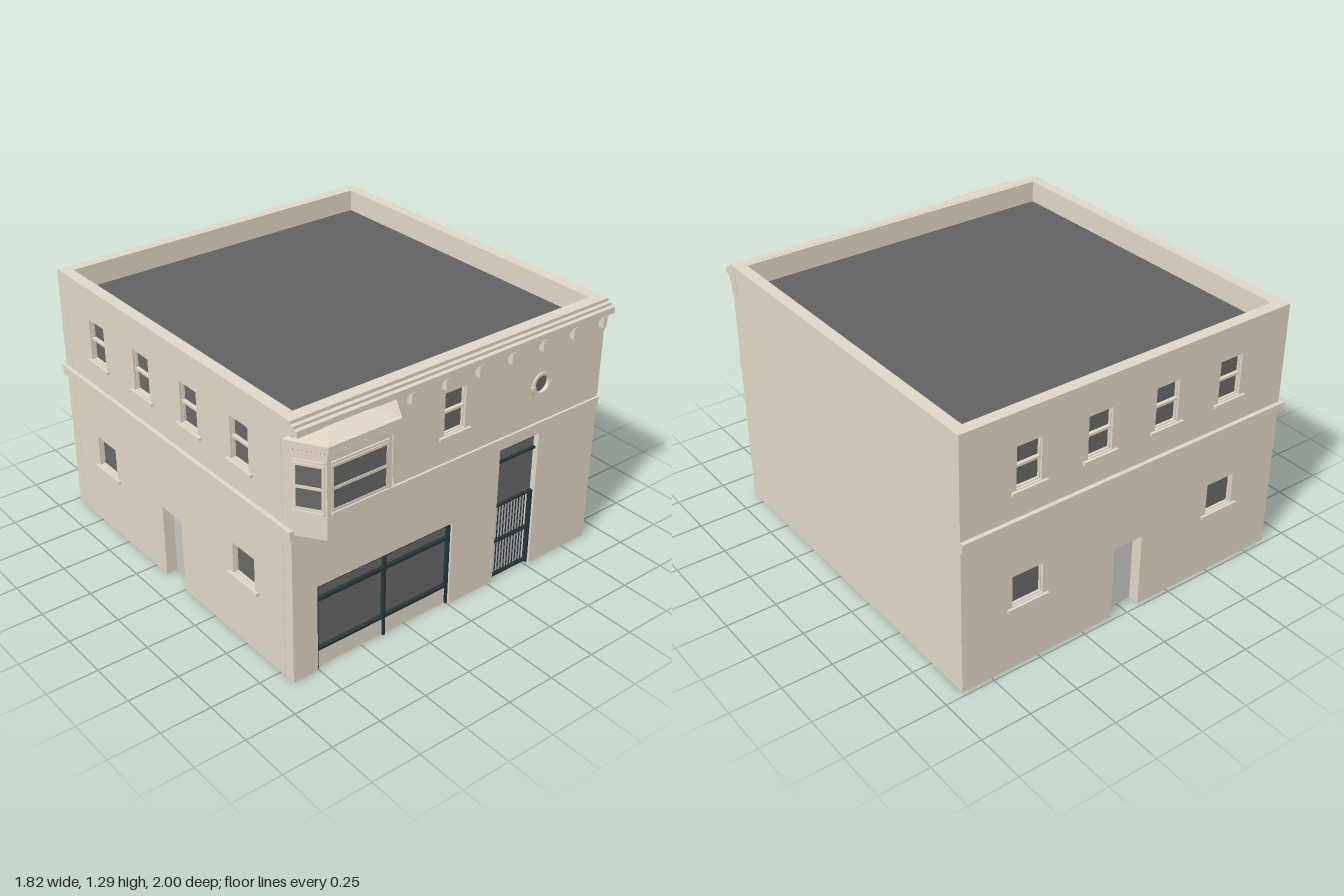
import * as THREE from 'three';

const mat = (name, color) => Object.assign(new THREE.MeshStandardMaterial({ color }), { name });

export function createModel() {
  const stone = mat('stone', 0xe1d7c5), glass = mat('glass', 0x686868), metal = mat('darkMetal', 0x24363a);
  const plaster = mat('plaster', 0xc8c8c8), roofing = mat('roofing', 0x626262);
  const model = new THREE.Group();
  model.name = 'cornerBuilding';
  const T = 0.057, H = 1.29, ROOF = 1.18;
  const X0 = -0.885, X1 = 0.902, Z0 = -0.98, Z1 = 0.84;

  const add = (parent, name, geo, material, x = 0, y = 0, z = 0) => {
    const m = new THREE.Mesh(geo, material);
    m.name = name;
    m.position.set(x, y, z);
    parent.add(m);
    return m;
  };
  // box from minimum to maximum corner
  const box = (parent, name, material, x0, x1, y0, y1, z0, z1) =>
    add(parent, name, new THREE.BoxGeometry(x1 - x0, y1 - y0, z1 - z0), material,
      (x0 + x1) / 2, (y0 + y1) / 2, (z0 + z1) / 2);
  const pane = (parent, name, material, x0, x1, y0, y1, z) =>
    add(parent, name, new THREE.PlaneGeometry(x1 - x0, y1 - y0), material, (x0 + x1) / 2, (y0 + y1) / 2, z);

  // wall outline with openings that reach the ground
  const outline = (a, b, doors) => {
    const s = new THREE.Shape();
    s.moveTo(a, 0);
    for (const [l, r, top] of doors) {
      s.lineTo(l, 0); s.lineTo(l, top); s.lineTo(r, top); s.lineTo(r, 0);
    }
    s.lineTo(b, 0); s.lineTo(b, H); s.lineTo(a, H); s.closePath();
    return s;
  };
  const rectHole = ([l, r, y0, y1]) => new THREE.Path([[l, y0], [r, y0], [r, y1], [l, y1]].map(p => new THREE.Vector2(...p)));

  // one wall in its own frame: outer face at z = 0, facing +z
  const wall = (name, a, b, pos, turn, { doors = [], windows = [], round }) => {
    const g = new THREE.Group();
    g.name = name;
    g.position.set(...pos);
    g.rotation.y = turn;
    model.add(g);
    const s = outline(a, b, doors);
    s.holes = windows.map(rectHole);
    if (round) s.holes.push(new THREE.Path().absarc(round[0], round[1], round[2], 0, Math.PI * 2, true));
    add(g, 'wallShell', new THREE.ExtrudeGeometry(s, { depth: T, bevelEnabled: false, curveSegments: 16 }), stone, 0, 0, -T);
    box(g, 'innerLining', plaster, a, b, 0, ROOF - 0.005, -T - 0.004, -T);
    for (const w of windows) sashWindow(g, ...w);
    return g;
  };
  const sashWindow = (g, l, r, y0, y1) => {
    const f = 0.004, mid = (y0 + y1) / 2;
    pane(g, 'windowGlass', glass, l, r, y0, y1, -0.025);
    for (const [a, b] of [[l, l + f], [r - f, r]]) box(g, 'windowJamb', stone, a, b, y0, y1, -0.03, -0.012);
    for (const [a, b] of [[y0, y0 + f], [y1 - f, y1]]) box(g, 'windowRail', stone, l, r, a, b, -0.03, -0.012);
    if (y1 - y0 > 0.18) box(g, 'meetingRail', stone, l, r, mid - 0.002, mid + 0.01, -0.03, -0.008);
    box(g, 'windowSill', stone, l - 0.028, r + 0.028, y0 - 0.018, y0 - 0.003, -0.01, 0.014);
  };
  const upper = c => [c - 0.064, c + 0.064, 0.925, 1.13];
  const lower = c => [c - 0.08, c + 0.08, 0.335, 0.492];

  const shop = [-0.755, 0.005, 0.445], entry = [0.28, 0.525, 0.72];
  const front = wall('frontWall', X0, X1, [0, 0, Z1], 0,
    { doors: [shop, entry], windows: [[-0.07, 0.05, 0.925, 1.13]], round: [0.51, 0.985, 0.045] });
  const back = wall('backWall', -X1, -X0, [0, 0, Z0], Math.PI,
    { doors: [[-0.08, 0.08, 0.38]], windows: [...[-0.56, -0.19, 0.18, 0.55].map(upper), ...[-0.56, 0.55].map(lower)] });
  const side = wall('rightSideWall', Z0 + T, Z1 - T, [X0, 0, 0], -Math.PI / 2,
    { doors: [[-0.16, 0, 0.38]], windows: [...[-0.645, -0.265, 0.115, 0.49].map(upper), ...[-0.645, 0.49].map(lower)] });
  wall('plainSideWall', -Z1 + T, -Z0 - T, [X1, 0, 0], Math.PI / 2, {});

  // roof deck
  box(model, 'roofDeck', roofing, X0 + T, X1 - T, ROOF - 0.01, ROOF, Z0 + T, Z1 - T);

  // doors standing open into the room
  box(back, 'openDoor', glass, -0.08, -0.072, 0.005, 0.375, -0.2, -T - 0.004);
  box(side, 'openDoor', glass, -0.16, -0.152, 0.005, 0.375, -0.2, -T - 0.004);
  box(front, 'openDoor', glass, 0.28, 0.29, 0.005, 0.41, -0.25, -T - 0.004);

  // shop front
  const [sl, sr, st] = shop;
  pane(front, 'shopGlass', glass, sl, sr, 0.1, st, -0.03);
  box(front, 'stallRiser', stone, sl, sr, 0, 0.1, -0.05, -0.02);
  for (const x of [sl + 0.006, (sl + sr) / 2, sr - 0.006])
    box(front, 'shopPost', metal, x - 0.006, x + 0.006, 0, st, -0.035, -0.01);
  for (const y of [0.1, 0.363, st - 0.007])
    box(front, 'shopRail', metal, sl, sr, y - 0.007, y + 0.007, -0.035, -0.011);

  // entrance: glazed transom above a barred gate
  const [el, er, et] = entry;
  box(front, 'transomGlass', glass, el, er, 0.41, et, -0.036, -0.03);
  for (const y of [0.015, 0.205, 0.405, 0.64, et - 0.005])
    box(front, 'gateRail', metal, el, er, y - 0.005, y + 0.005, -0.033, -0.015);
  for (const x of [el + 0.005, er - 0.005])
    box(front, 'gatePost', metal, x - 0.005, x + 0.005, 0, 0.41, -0.034, -0.012);
  for (let i = 1; i < 13; i++)
    add(front, 'gateBar', new THREE.CylinderGeometry(0.003, 0.003, 0.4, 6), metal, el + (er - el) * i / 13, 0.205, -0.024);

  // round window with a heavier lower surround
  add(front, 'roundGlass', new THREE.CircleGeometry(0.046, 28), glass, 0.51, 0.985, -0.01);
  const ring = (name, r, from, to, d) => {
    const s = new THREE.Shape();
    s.absarc(0, 0, r, from, to, false);
    s.absarc(0, 0, 0.041, to, from, true);
    add(front, name, new THREE.ExtrudeGeometry(s, { depth: d, bevelEnabled: false, curveSegments: 20 }), stone, 0.51, 0.985, 0);
  };
  ring('roundSurroundTop', 0.056, 0, Math.PI, 0.008);
  ring('roundSurroundBase', 0.063, Math.PI, Math.PI * 2, 0.012);

  // belt course
  for (const [y0, y1, d] of [[0.735, 0.775, 0.014], [0.775, 0.787, 0.02]]) {
    box(model, 'beltFront', stone, X0 - d, X1, y0, y1, Z1 - 0.01, Z1 + d * 0.6);
    box(model, 'beltBack', stone, X0 - d, X1, y0, y1, Z0 - d, Z0 + 0.01);
    box(model, 'beltSide', stone, X0 - d, X0 + 0.01, y0, y1, Z0, Z1);
  }

  // front cornice, frieze and brackets in square steps
  const profile = [[0.8, 1.29], [0.845, 1.29], [0.845, 1.275], [0.866, 1.275], [0.866, 1.262], [0.888, 1.262],
    [0.888, 1.232], [0.857, 1.232], [0.857, 1.2], [0.846, 1.2], [0.846, 1.137], [0.8, 1.137]];
  const cornice = new THREE.ExtrudeGeometry(new THREE.Shape(profile.map(p => new THREE.Vector2(...p))),
    { depth: X1 - X0 + 0.003, bevelEnabled: false });
  cornice.rotateY(-Math.PI / 2);
  // keep the window head clear of the frieze by starting it above the opening
  add(model, 'cornice', cornice, stone, X1 + 0.002, 0.001, 0);
  for (let i = 0; i < 7; i++) {
    const x = -0.28 + i * 0.191;
    box(model, 'corniceBracket', stone, x - 0.011, x + 0.011, 1.165, 1.22, 0.84, 0.874);
  }

  // bay window: stacked trapezoid layers, o = overhang beyond the body
  const bay = new THREE.Group();
  bay.name = 'bayWindow';
  bay.position.x = -0.635;
  model.add(bay);
  const layer = (name, o, y0, y1) => {
    const b = 0.25 + o, f = 0.165 + o * 0.6, z = 0.965 + o;
    const s = new THREE.Shape([[-b, -0.83], [-b, -0.84], [-f, -z], [f, -z], [b, -0.84], [b, -0.83]].map(p => new THREE.Vector2(...p)));
    const g = new THREE.ExtrudeGeometry(s, { depth: y1 - y0, bevelEnabled: false });
    g.rotateX(-Math.PI / 2);
    add(bay, name, g, stone, 0, y0, 0);
  };
  layer('bayBody', 0, 0.765, 1.17);
  layer('bayHead', 0.006, 1.14, 1.168);
  layer('bayFrieze', 0.006, 1.168, 1.19);
  layer('bayEaveLower', 0.022, 1.184, 1.195);
  layer('bayEave', 0.033, 1.195, 1.22);
  layer('baySkirt', -0.012, 0.757, 0.785);
  layer('bayFoot', -0.035, 0.742, 0.757);
  layer('bayToe', -0.06, 0.732, 0.742);

  // shallow hipped bay roof
  const rim = [[-0.283, 0.84], [-0.185, 0.998], [0.185, 0.998], [0.283, 0.84]];
  const ridge = [[-0.17, 0.84], [-0.1, 0.885], [0.1, 0.885], [0.17, 0.84]];
  const verts = [];
  for (let i = 0; i < 3; i++) {
    const lo = k => [rim[k][0], 1.22, rim[k][1]], hi = k => [ridge[k][0], 1.238, ridge[k][1]];
    verts.push(...lo(i), ...lo(i + 1), ...hi(i + 1), ...lo(i), ...hi(i + 1), ...hi(i));
  }
  for (const k of [1, 2]) verts.push(...[0, k, k + 1].flatMap(j => [ridge[j][0], 1.238, ridge[j][1]]));
  const hip = new THREE.BufferGeometry();
  hip.setAttribute('position', new THREE.Float32BufferAttribute(verts, 3));
  hip.computeVertexNormals();
  add(bay, 'bayRoof', hip, stone);

  // glazing, trim and dentils on the three bay faces
  const slant = Math.atan2(0.125, 0.085);
  for (const [x, z, turn, w, half] of [[0, 0.965, 0, 0.27, 0.165],
    [0.2075, 0.9025, slant, 0.108, 0.075], [-0.2075, 0.9025, -slant, 0.108, 0.075]]) {
    const f = new THREE.Group();
    f.name = 'bayFace';
    f.position.set(x, 0, z);
    f.rotation.y = turn;
    bay.add(f);
    for (const [y0, y1] of [[0.908, 0.996], [1.01, 1.1]]) box(f, 'bayGlass', glass, -w / 2, w / 2, y0, y1, -0.004, 0.002);
    for (const s of [-1, 1]) {
      const c = s * (w / 2 + 0.006);
      box(f, 'bayJamb', stone, c - 0.006, c + 0.006, 0.9, 1.112, -0.005, 0.005);
    }
    for (const [y0, y1, d] of [[0.895, 0.908, 0.005], [0.996, 1.01, 0.005], [1.1, 1.112, 0.005], [1.118, 1.128, 0.008], [0.884, 0.895, 0.012]])
      box(f, 'bayRail', stone, -w / 2 - 0.012, w / 2 + 0.012, y0, y1, -0.005, d);
    const n = Math.round(half * 2 / 0.02);
    for (let i = 0; i < n; i++) {
      const c = -half + (i + 0.5) * 2 * half / n;
      box(f, 'bayDentil', stone, c - 0.005, c + 0.005, 1.171, 1.185, 0, 0.015);
    }
  }
  return model;
}
